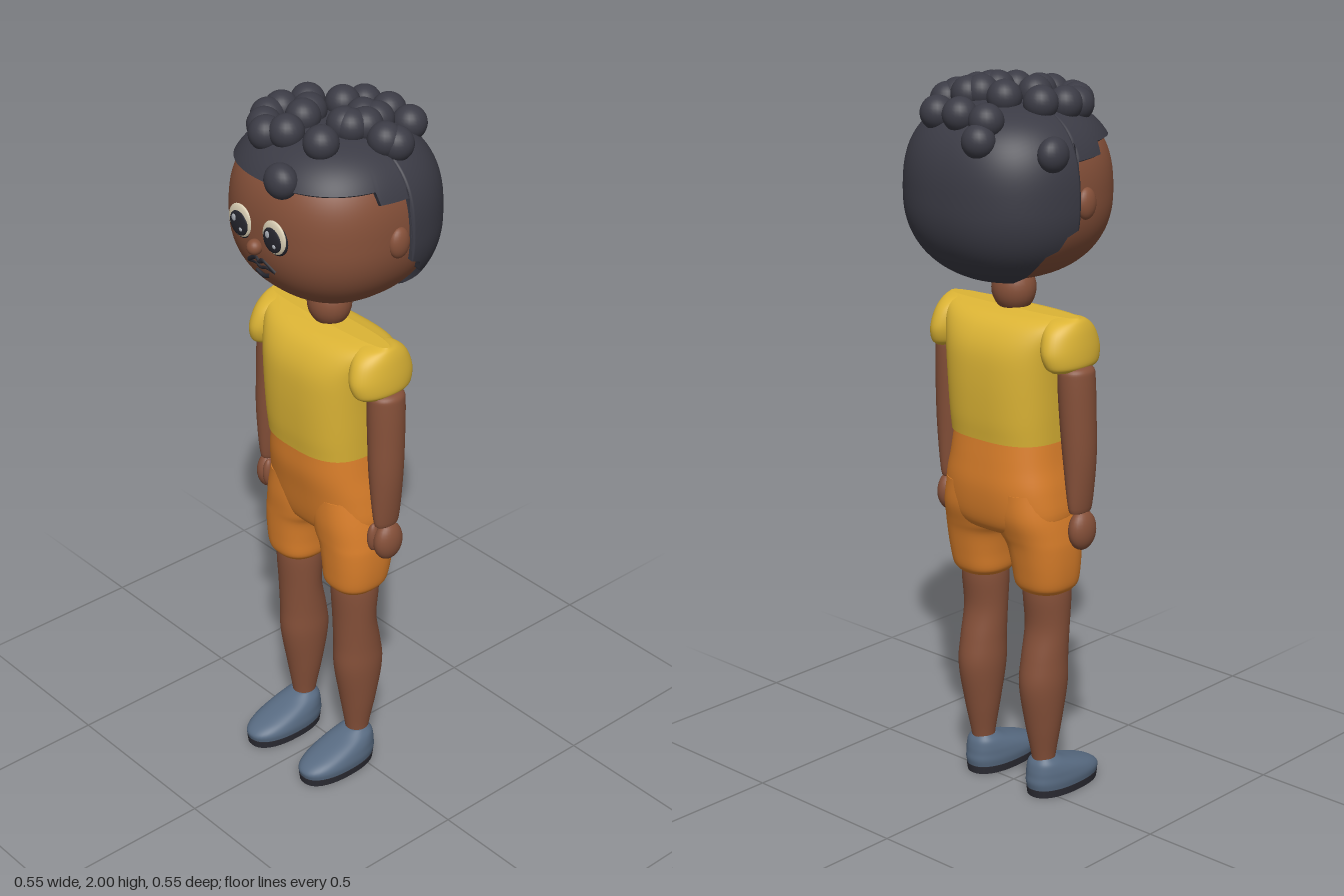
import * as THREE from 'three';

const mat = (name, color, side = THREE.FrontSide) => {
  const m = new THREE.MeshStandardMaterial({ color, side });
  m.name = name;
  return m;
};

// signed power, used for rounded-square outlines
const sp = (v, e) => Math.sign(v) * Math.pow(Math.abs(v), e);

function grid(rows, cols, point) {
  const pos = [], idx = [];
  for (let i = 0; i <= rows; i++)
    for (let j = 0; j < cols; j++) pos.push(...point(i, j));
  for (let i = 0; i < rows; i++)
    for (let j = 0; j < cols; j++) {
      const k = (j + 1) % cols, a = i * cols + j, b = i * cols + k;
      idx.push(a, a + cols, b, b, a + cols, b + cols);
    }
  return { pos, idx };
}

function toGeometry({ pos, idx }) {
  const g = new THREE.BufferGeometry();
  g.setAttribute('position', new THREE.Float32BufferAttribute(pos, 3));
  g.setIndex(idx);
  g.computeVertexNormals();
  return g;
}

// smooth loft through rings listed bottom to top: [y, centreX, radiusX, centreZ, radiusZ]
function loft(rings, p = 2, seg = 40, sub = 5) {
  const times = Float32Array.from(rings, (_, i) => i);
  const spline = new THREE.CubicInterpolant(times, new Float32Array(rings.flat()), 5);
  const rows = (rings.length - 1) * sub;
  const data = grid(rows, seg, (i, j) => {
    const [y, cx, rx, cz, rz] = spline.evaluate(i / sub);
    const a = j / seg * Math.PI * 2;
    return [cx + rx * sp(Math.cos(a), 2 / p), y, cz + rz * sp(Math.sin(a), 2 / p)];
  });
  // flat end caps with their own vertices
  for (const top of [false, true]) {
    const r = top ? rings[rings.length - 1] : rings[0];
    const from = top ? rows * seg : 0, base = data.pos.length / 3;
    data.pos.push(r[1], r[0], r[3], ...data.pos.slice(from * 3, (from + seg) * 3));
    for (let j = 0; j < seg; j++) {
      const a = base + 1 + j, b = base + 1 + (j + 1) % seg;
      data.idx.push(base, top ? b : a, top ? a : b);
    }
  }
  return toGeometry(data);
}

// rounded head shape, grown outward for the hair
const HEAD = { y: 1.69, z: -0.012, rx: 0.258, up: 0.235, down: 0.225, rz: 0.252 };
const vPow = (phi) => (phi > 0 ? 2.7 : 2.2);
function headPoint(az, phi, grow = 0) {
  const e = 2 / vPow(phi), r = sp(Math.max(Math.cos(phi), 0), e);
  return [
    (HEAD.rx + grow) * r * sp(Math.cos(az), 2 / 2.3),
    HEAD.y + ((phi > 0 ? HEAD.up : HEAD.down) + grow) * sp(Math.sin(phi), e),
    HEAD.z + (HEAD.rz + grow) * r * sp(Math.sin(az), 2 / 2.3),
  ];
}
const headPhi = (y, grow) => {
  const d = (y - HEAD.y) / ((y > HEAD.y ? HEAD.up : HEAD.down) + grow);
  return Math.asin(sp(THREE.MathUtils.clamp(d, -1, 1), vPow(d) / 2));
};

// hairline height by degrees from front (-90) past the ear (0) to the back (90)
const HAIRLINE = [[-90, 1.842], [-13.5, 1.842], [-12.5, 1.81], [4, 1.805], [5, 1.63], [12, 1.615],
  [16, 1.58], [24, 1.565], [34, 1.5], [45, 1.475], [90, 1.472]];
function hairlineY(az) {
  const t = -Math.asin(Math.sin(az)) * 180 / Math.PI;
  const k = Math.max(1, HAIRLINE.findIndex((h) => t <= h[0]));
  const [a, b] = [HAIRLINE[k - 1], HAIRLINE[k]];
  return THREE.MathUtils.mapLinear(t, a[0], b[0], a[1], b[1]);
}

export function createModel() {
  const root = new THREE.Group();
  root.name = 'child';
  const skin = mat('skin', 0x855039), hair = mat('hair', 0x3b3b45, THREE.DoubleSide);
  const yellow = mat('yellow shirt', 0xdcb435), orange = mat('orange shorts', 0xd97e2a);
  const shoeBlue = mat('shoe blue', 0x586b82), soleDark = mat('sole dark', 0x2c2c34);
  const cream = mat('eye cream', 0xd9ceb4), dark = mat('eye dark', 0x25252d);
  const shine = mat('eye shine', 0xa9adb5);

  const add = (name, geo, material) => {
    const m = new THREE.Mesh(geo, material);
    m.name = name;
    root.add(m);
    return m;
  };
  const ball = (name, material, p, s) => {
    const m = add(name, new THREE.SphereGeometry(1, 24, 16), material);
    m.position.set(...p);
    m.scale.set(...s);
    return m;
  };

  // head and neck
  add('head', toGeometry(grid(48, 80, (i, j) =>
    headPoint(j / 80 * Math.PI * 2, (i / 48 - 0.5) * Math.PI))), skin);
  ball('neck', skin, [0, 1.43, 0], [0.062, 0.068, 0.058]);
  ball('nose', skin, [0, 1.667, 0.248], [0.021, 0.021, 0.021]);

  // hair cap with a hem tucked into the head
  const G = 0.014, cols = 360;
  const azOf = (j) => j / cols * Math.PI * 2;
  const limit = (j, g) => headPhi(hairlineY(azOf(j)), g);
  add('hairCap', toGeometry(grid(36, cols, (i, j) =>
    headPoint(azOf(j), THREE.MathUtils.lerp(limit(j, G), Math.PI / 2, i / 36), G))), hair);
  add('hairHem', toGeometry(grid(1, cols, (i, j) =>
    headPoint(azOf(j), limit(j, G), i ? G : -0.006))), hair);

  // curls, placed by x and z on the cap
  const curls = [[-0.084, -0.193], [0.005, -0.196], [0.09, -0.19], [-0.043, -0.082], [-0.13, -0.04],
    [-0.15, 0.03], [-0.15, 0.075], [-0.06, 0.015], [-0.043, 0.05], [-0.11, 0.12], [-0.02, 0.123],
    [-0.073, 0.146], [0.087, 0.103], [0.082, -0.085], [0.052, -0.066], [0.094, -0.037],
    [0.064, 0.007], [0.08, 0], [0.178, -0.064], [0.16, -0.043]];
  for (const [x, z] of curls) {
    const f = Math.pow(Math.abs(x) / (HEAD.rx + G), 2.3) + Math.pow(Math.abs(z - HEAD.z) / (HEAD.rz + G), 2.3);
    const y = HEAD.y + (HEAD.up + G) * Math.pow(Math.max(0, 1 - Math.pow(f, 2.7 / 2.3)), 1 / 2.7);
    ball('curl', hair, [x, y + 0.013, z], [0.046, 0.046, 0.046]);
  }
  ball('curl', hair, [-0.09, 1.86, -0.228], [0.045, 0.045, 0.043]);
  ball('curl', hair, [-0.24, 1.83, -0.114], [0.036, 0.046, 0.046]);
  ball('curl', hair, [0.06, 1.857, 0.21], [0.048, 0.046, 0.04]);

  // mouth: wavy upper line, short lower line
  const line = (name, pts, r) => add(name, new THREE.TubeGeometry(
    new THREE.CatmullRomCurve3(pts.map(([x, y, z]) => new THREE.Vector3(x, y, z))), 32, r, 8), dark);
  line('upperLip', [[-0.052, 1.606, 0.222], [-0.03, 1.622, 0.228], [-0.012, 1.63, 0.231], [0, 1.622, 0.231],
    [0.012, 1.63, 0.231], [0.03, 1.622, 0.228], [0.052, 1.606, 0.222]], 0.007);
  line('mouthLine', [[-0.05, 1.604, 0.221], [-0.02, 1.61, 0.226], [0, 1.604, 0.226],
    [0.02, 1.61, 0.226], [0.05, 1.604, 0.221]], 0.005);
  line('lowerLip', [[-0.026, 1.586, 0.219], [0, 1.578, 0.219], [0.026, 1.586, 0.219]], 0.006);

  // shirt and shorts body
  add('shirt', loft([[1.036, 0, 0.166, 0, 0.134], [1.1, 0, 0.17, 0, 0.141], [1.2, 0, 0.177, 0, 0.144],
    [1.28, 0, 0.187, 0, 0.138], [1.335, 0, 0.203, 0, 0.115], [1.368, 0, 0.217, 0, 0.08],
    [1.384, 0, 0.222, 0, 0.03]], 2.8, 64), yellow);
  add('shortsHips', loft([[0.765, 0, 0.09, -0.01, 0.06], [0.78, 0, 0.15, -0.012, 0.098],
    [0.82, 0, 0.191, -0.014, 0.117], [0.9, 0, 0.186, -0.012, 0.13], [0.97, 0, 0.173, -0.004, 0.134],
    [1.037, 0, 0.164, 0, 0.131]], 2.6, 64), orange);

  for (const s of [1, -1]) {
    const side = s > 0 ? 'left' : 'right';
    // eye
    ball(side + 'EyeRim', dark, [s * 0.066, 1.708, 0.234], [0.046, 0.043, 0.012]);
    ball(side + 'EyeWhite', cream, [s * 0.066, 1.714, 0.238], [0.044, 0.045, 0.01]);
    ball(side + 'Iris', dark, [s * 0.065, 1.709, 0.244], [0.034, 0.034, 0.008]);
    ball(side + 'EyeShine', shine, [s * 0.065 - 0.012, 1.721, 0.25], [0.009, 0.01, 0.003]);
    ball(side + 'EyeShineSmall', shine, [s * 0.065 + 0.013, 1.697, 0.25], [0.006, 0.006, 0.003]);
    ball(side + 'Ear', skin, [s * 0.256, 1.692, -0.006], [0.021, 0.042, 0.032]);

    // sleeve
    add(side + 'Sleeve', loft([[1.247, s * 0.21, 0.032, 0, 0.075], [1.262, s * 0.206, 0.048, 0, 0.092],
      [1.3, s * 0.2, 0.054, 0, 0.1], [1.345, s * 0.194, 0.053, 0, 0.085],
      [1.372, s * 0.188, 0.05, 0, 0.057], [1.384, s * 0.183, 0.045, 0, 0.02]]), yellow);

    // arm and hand
    add(side + 'Arm', loft([[0.855, s * 0.235, 0.014, 0.005, 0.025], [0.87, s * 0.235, 0.024, 0.005, 0.04],
      [1.0, s * 0.232, 0.041, 0.005, 0.049], [1.12, s * 0.227, 0.047, 0.002, 0.052],
      [1.22, s * 0.223, 0.048, 0, 0.053], [1.25, s * 0.222, 0.043, 0, 0.048],
      [1.262, s * 0.221, 0.018, 0, 0.02]]), skin);
    ball(side + 'Hand', skin, [s * 0.243, 0.806, 0.005], [0.031, 0.056, 0.045]);
    ball(side + 'Thumb', skin, [s * 0.217, 0.815, 0.034], [0.015, 0.042, 0.019]);

    // shorts leg
    add(side + 'ShortsLeg', loft([[0.61, s * 0.115, 0.066, 0.008, 0.07], [0.63, s * 0.115, 0.08, 0.007, 0.084],
      [0.68, s * 0.116, 0.086, 0.004, 0.092], [0.74, s * 0.112, 0.092, 0, 0.1],
      [0.775, s * 0.101, 0.1, -0.004, 0.107], [0.83, s * 0.092, 0.1, -0.01, 0.118],
      [0.9, s * 0.085, 0.09, -0.012, 0.12]], 2.4), orange);

    // lower leg with calf
    add(side + 'Leg', loft([[0.085, s * 0.115, 0.03, -0.002, 0.03], [0.13, s * 0.115, 0.035, -0.003, 0.037],
      [0.22, s * 0.115, 0.05, -0.005, 0.054], [0.33, s * 0.115, 0.062, -0.005, 0.073],
      [0.41, s * 0.115, 0.062, 0, 0.068], [0.5, s * 0.115, 0.063, 0.01, 0.06],
      [0.59, s * 0.115, 0.067, 0.009, 0.066], [0.64, s * 0.115, 0.064, 0.008, 0.064]]), skin);

    // shoe and sole
    add(side + 'Shoe', loft([[0.02, s * 0.115, 0.062, 0.075, 0.123], [0.04, s * 0.115, 0.065, 0.074, 0.126],
      [0.058, s * 0.115, 0.063, 0.063, 0.113], [0.076, s * 0.115, 0.058, 0.04, 0.088],
      [0.096, s * 0.115, 0.048, 0.012, 0.055], [0.112, s * 0.115, 0.034, 0, 0.033]], 2.3), shoeBlue);
    add(side + 'Sole', loft([[0, s * 0.115, 0.061, 0.075, 0.122], [0.022, s * 0.115, 0.064, 0.075, 0.125]], 2.3), soleDark);
  }
  return root;
}
